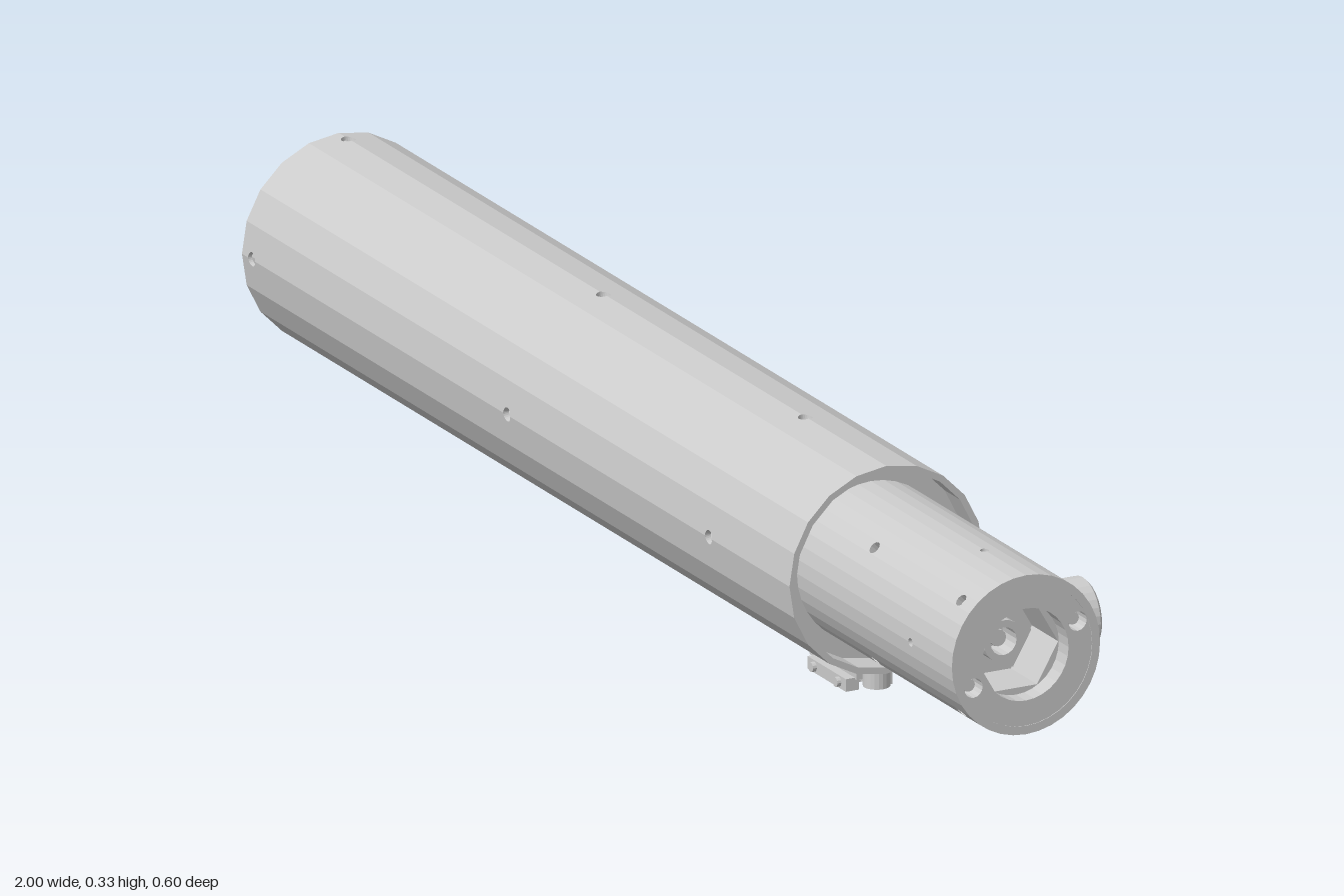
import * as THREE from 'three';
import { mergeGeometries } from 'three/addons/utils/BufferGeometryUtils.js';

const mat = new THREE.MeshStandardMaterial({ color: 0xcccccc, flatShading: true, side: THREE.DoubleSide });

function add(parent, name, geometry, x = 0, y = 0, z = 0) {
  const mesh = new THREE.Mesh(geometry, mat);
  mesh.name = name;
  mesh.position.set(x, y, z);
  parent.add(mesh);
  return mesh;
}

// Faceted tube along x made of flat panels; holes: [x, angle in degrees, radius].
// Angle 0 is +z, 90 is -y. Holes lie on a panel's centre or on its seams.
function drilledTube(x0, x1, radius, sides, wall, holes) {
  const step = 360 / sides;
  const half = radius * Math.sin(Math.PI / sides);
  const apothem = radius * Math.cos(Math.PI / sides);
  const panels = [];
  for (let k = 0; k < sides; k++) {
    const angle = (k + 0.5) * step;
    const offset = h => ((h[1] - angle + 540) % 360) - 180;
    const near = d => holes.filter(h => Math.abs(offset(h) - d) < 0.01).sort((a, b) => a[0] - b[0]);
    const s = new THREE.Shape();
    s.moveTo(x0, -half);
    for (const [x, , r] of near(step / 2)) {
      s.lineTo(x - r, -half);
      s.absarc(x, -half, r, Math.PI, 0, true);
    }
    s.lineTo(x1, -half);
    s.lineTo(x1, half);
    for (const [x, , r] of near(-step / 2).reverse()) {
      s.lineTo(x + r, half);
      s.absarc(x, half, r, 0, -Math.PI, true);
    }
    s.lineTo(x0, half);
    for (const [x, , r] of near(0)) s.holes.push(new THREE.Path().absarc(x, 0, r, 0, Math.PI * 2, true));
    const g = new THREE.ExtrudeGeometry(s, { depth: wall, bevelEnabled: false, curveSegments: 6 });
    g.translate(0, 0, apothem - wall);
    g.rotateX(THREE.MathUtils.degToRad(angle));
    panels.push(g);
  }
  return mergeGeometries(panels);
}

// Plate facing +x from x0 to x1, with holes given as paths in its (z, y) plane
function ringPlate(x0, x1, radius, sides, holes) {
  const s = polygon(THREE.Shape, 0, 0, radius, sides);
  s.holes.push(...holes);
  const g = new THREE.ExtrudeGeometry(s, { depth: x1 - x0, bevelEnabled: false });
  g.rotateY(Math.PI / 2);
  return g.translate(x0, 0, 0);
}

function polygon(Type, cx, cy, r, sides) {
  const pts = [];
  for (let i = 0; i < sides; i++) {
    const a = i / sides * Math.PI * 2;
    pts.push(new THREE.Vector2(cx + r * Math.cos(a), cy + r * Math.sin(a)));
  }
  return new Type(pts).closePath() ?? new Type(pts);
}

const hole = (x, y, r, sides = 16) => polygon(THREE.Path, x, y, r, sides);
const rod = (x0, x1, r, sides) =>
  new THREE.CylinderGeometry(r, r, x1 - x0, sides).rotateZ(-Math.PI / 2).translate((x0 + x1) / 2, 0, 0);

export function createModel() {
  const root = new THREE.Group();
  root.name = 'telescopingTube';
  const axis = new THREE.Group();
  axis.name = 'tubeAssembly';
  axis.position.set(0, 0.185, 0.013);
  axis.rotation.y = -THREE.MathUtils.degToRad(10);
  root.add(axis);

  // Outer body with screw holes on four sides and one wider hole at the back
  const bodyHoles = [[-0.08, 180, 0.014]];
  for (const x of [-0.948, -0.217, 0.361])
    for (const a of [0, 90, 180, 270]) bodyHoles.push([x, a, 0.01]);
  add(axis, 'outerBody', drilledTube(-0.975, 0.594, 0.149, 20, 0.009, bodyHoles));
  add(axis, 'rearCap', ringPlate(-0.975, -0.93, 0.143, 20, [hole(0, 0, 0.013)]));
  add(axis, 'guideRing', ringPlate(0.52, 0.55, 0.142, 20, [hole(0, 0, 0.11, 36)]));

  // Rear boss with a blind centre hole
  add(axis, 'rearBoss', ringPlate(-1.005, -0.97, 0.05, 24, [hole(0, 0, 0.013)]));
  add(axis, 'rearBossFloor', rod(-0.97, -0.96, 0.03, 16));

  // Sliding inner tube
  const tubeHoles = [];
  for (const x of [0.71, 0.958])
    for (const a of [45, 135, 225, 315]) tubeHoles.push([x, a, 0.009]);
  for (const a of [0, 90, 270]) tubeHoles.push([0.875, a, 0.006]);
  add(axis, 'innerTube', drilledTube(0.4, 0.994, 0.114, 36, 0.012, tubeHoles));

  // Front face with two screw pockets, then a hexagonal socket behind it
  const pockets = [[0.08, -0.035], [-0.08, 0.035]];
  add(axis, 'frontRing', ringPlate(0.965, 0.993, 0.113, 36,
    [hole(0, 0, 0.066, 32), ...pockets.map(([x, y]) => hole(-x, y, 0.014))]));
  for (const [z, y] of pockets) add(axis, 'pocketScrew', rod(0.96, 0.98, 0.009, 12), 0, y, z);
  add(axis, 'hexSocket', ringPlate(0.89, 0.965, 0.104, 36, [hole(0, 0, 0.065, 6)]));
  add(axis, 'socketFloor', rod(0.86, 0.89, 0.104, 36));
  add(axis, 'hexNut', ringPlate(0.88, 0.905, 0.056, 6, [hole(0, 0, 0.03)]));
  add(axis, 'hub', ringPlate(0.88, 0.93, 0.03, 20, [hole(0, 0, 0.02)]));
  add(axis, 'hubPin', rod(0.88, 0.915, 0.012, 12));

  // Round side knob with a centre hole
  const knob = [[0.014, 0.02], [0.014, 0.046], [0.048, 0.046], [0.052, 0.042], [0.052, 0]];
  add(axis, 'sideKnob', new THREE.LatheGeometry(knob.map(p => new THREE.Vector2(...p)), 28)
    .rotateX(-Math.PI / 2), 0.879, 0, -0.107);
  add(axis, 'knobPin', new THREE.CylinderGeometry(0.014, 0.014, 0.03, 16).rotateX(Math.PI / 2), 0.879, 0, -0.115);

  // Mounting shoe under the body
  const shoe = new THREE.Group();
  shoe.name = 'mountingShoe';
  shoe.position.set(0.49, -0.185, 0);
  axis.add(shoe);
  add(shoe, 'shoeBase', new THREE.BoxGeometry(0.12, 0.026, 0.044), 0, 0.03, 0);
  for (const side of [-1, 1]) {
    add(shoe, 'shoeRail', new THREE.BoxGeometry(0.11, 0.018, 0.02), 0, 0.01, side * 0.026);
    add(shoe, 'shoeLobe', new THREE.CylinderGeometry(0.019, 0.019, 0.03, 20), side * 0.076, 0.026, 0);
    add(shoe, 'shoeArm', new THREE.BoxGeometry(0.04, 0.016, 0.022), side * 0.06, 0.02, 0);
    for (const end of [-1, 1])
      add(shoe, 'railScrew', new THREE.CylinderGeometry(0.007, 0.007, 0.01, 12).rotateX(Math.PI / 2),
        end * 0.035, 0.01, side * 0.037);
  }
  add(shoe, 'shoePlate', new THREE.BoxGeometry(0.07, 0.016, 0.04), 0, 0.012, 0);
  return root;
}
